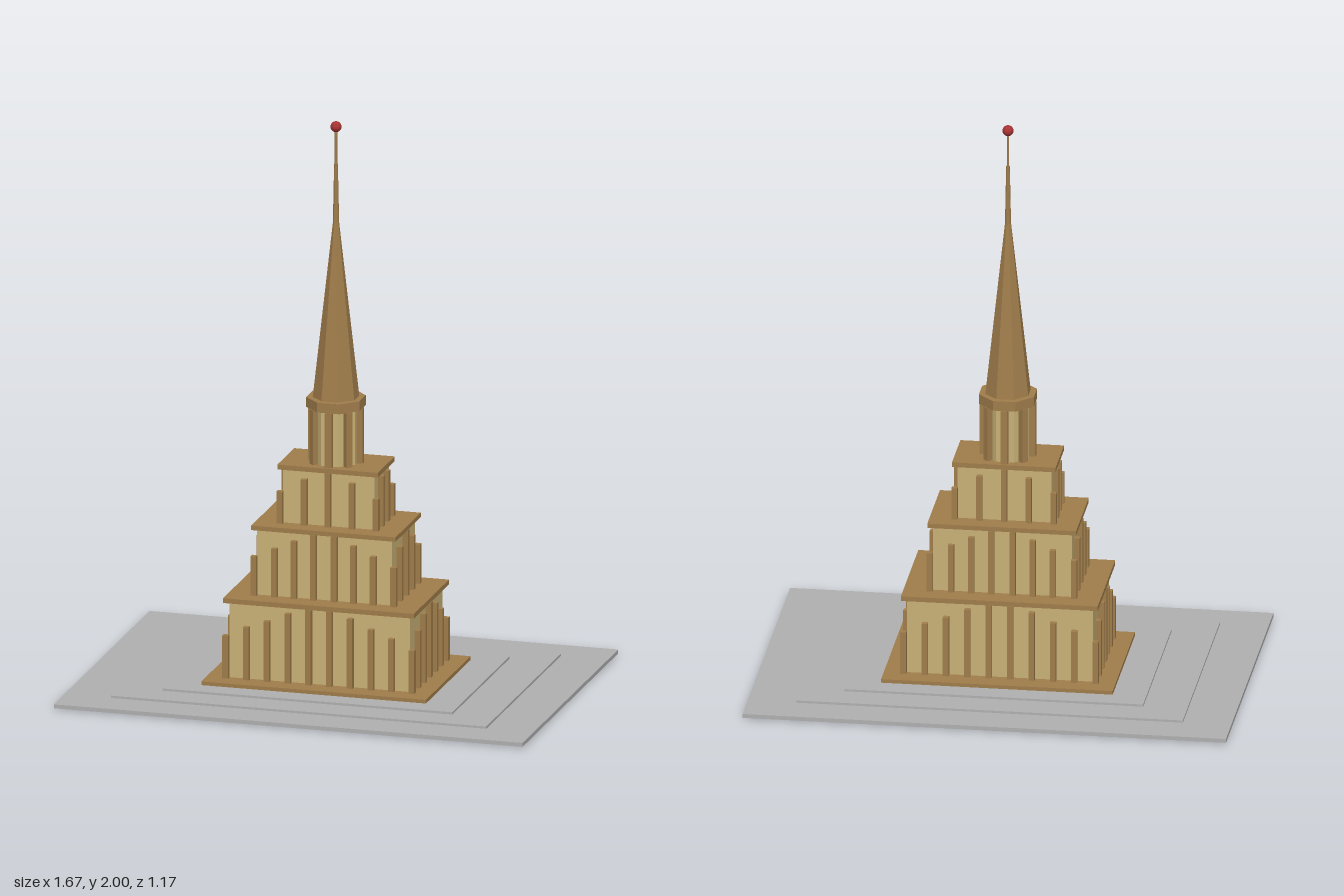
import * as THREE from 'three';

const material = (name, color) => {
  const m = new THREE.MeshStandardMaterial({ color, flatShading: name !== 'red' });
  m.name = name;
  return m;
};

export function createModel() {
  const model = new THREE.Group();
  model.name = 'steppedTower';
  const stone = material('greyStone', 0xb0b0b0);
  const cream = material('creamWall', 0xc9b277);
  const brown = material('brownTrim', 0xa07d4b);
  const red = material('red', 0xa83232);

  const add = (name, geometry, mat, parent = model) => {
    const mesh = new THREE.Mesh(geometry, mat);
    mesh.name = name;
    parent.add(mesh);
    return mesh;
  };
  // Box given by half width, half depth and its lower and upper level
  const slab = (name, hx, hz, y0, y1, mat, parent) => {
    const mesh = add(name, new THREE.BoxGeometry(hx * 2, y1 - y0, hz * 2), mat, parent);
    mesh.position.y = (y0 + y1) / 2;
    return mesh;
  };
  // Eight-sided frustum with flat faces towards the axes; radii measured to the faces
  const octagon = (name, rTop, rBottom, y0, y1, mat) => {
    const k = 1 / Math.cos(Math.PI / 8);
    const g = new THREE.CylinderGeometry(rTop * k, rBottom * k, y1 - y0, 8);
    g.rotateY(Math.PI / 8);
    add(name, g, mat).position.y = (y0 + y1) / 2;
  };

  // Stepped terrace and plinth
  slab('lowerTerrace', 0.835, 0.587, 0.004, 0.018, stone);
  slab('middleTerrace', 0.668, 0.458, 0.018, 0.026, stone);
  slab('upperTerrace', 0.516, 0.351, 0.026, 0.034, stone);
  slab('plinth', 0.4, 0.275, 0.034, 0.047, brown);

  // Thin footing frame under the terrace
  const rect = (s, hx, hz) =>
    s.moveTo(-hx, -hz).lineTo(hx, -hz).lineTo(hx, hz).lineTo(-hx, hz).closePath();
  const frame = rect(new THREE.Shape(), 0.4, 0.275);
  frame.holes.push(rect(new THREE.Path(), 0.385, 0.26));
  const frameGeo = new THREE.ExtrudeGeometry(frame, { depth: 0.004, bevelEnabled: false });
  frameGeo.rotateX(-Math.PI / 2);
  add('footingFrame', frameGeo, brown);

  // Tiers: pilasters are [offset, top], mirrored, lower towards the corners
  const tiers = [
    {
      y0: 0.047, y1: 0.315, top: 0.332, wall: [0.322, 0.198], cornice: [0.34, 0.216], corner: 0.2,
      front: [[0.037, 0.315], [0.111, 0.295], [0.185, 0.262], [0.258, 0.235]],
      side: [[0, 0.315], [0.069, 0.292], [0.138, 0.252]],
    },
    {
      y0: 0.332, y1: 0.565, top: 0.581, wall: [0.24, 0.14], cornice: [0.257, 0.156], corner: 0.472,
      front: [[0.037, 0.565], [0.106, 0.537], [0.176, 0.505]],
      side: [[0, 0.565], [0.072, 0.525]],
    },
    {
      y0: 0.581, y1: 0.773, top: 0.79, wall: [0.163, 0.088], cornice: [0.179, 0.104], corner: 0.695,
      front: [[0, 0.773], [0.085, 0.744]],
      side: [[0.033, 0.76]],
    },
  ];
  const P = 0.02; // pilaster thickness
  tiers.forEach((t, i) => {
    const tier = new THREE.Group();
    tier.name = 'tier' + (i + 1);
    model.add(tier);
    slab('wall', ...t.wall, t.y0, t.y1, cream, tier);
    slab('cornice', ...t.cornice, t.y1, t.top, brown, tier);
    const px = t.cornice[0] - 0.008, pz = t.cornice[1] - 0.008;
    const pilaster = (name, x, z, top) => {
      const m = slab(name, P / 2, P / 2, t.y0, top, brown, tier);
      m.position.x = x;
      m.position.z = z;
    };
    const signs = (v) => (v === 0 ? [0] : [-v, v]);
    for (const s of [-1, 1]) {
      for (const [o, top] of t.front) signs(o).forEach((x) => pilaster('pilaster', x, s * pz, top));
      for (const [o, top] of t.side) signs(o).forEach((z) => pilaster('pilaster', s * px, z, top));
      for (const c of [-1, 1]) pilaster('cornerPost', s * px, c * pz, t.corner);
    }
  });

  // Eight-sided drum with a pilaster on each face
  octagon('drum', 0.076, 0.076, 0.79, 0.985, cream);
  octagon('drumCornice', 0.095, 0.095, 0.985, 1.02, brown);
  for (let i = 0; i < 8; i++) {
    const a = (i * Math.PI) / 4;
    const m = slab('drumPilaster', 0.012, 0.011, 0.79, 0.985, brown);
    m.position.x = Math.sin(a) * 0.086;
    m.position.z = Math.cos(a) * 0.086;
    m.rotation.y = a;
  }

  // Spire, needle and ball
  octagon('spire', 0.01, 0.074, 1.02, 1.64, brown);
  octagon('lowerNeedle', 0.006, 0.01, 1.64, 1.85, brown);
  octagon('upperNeedle', 0.004, 0.004, 1.85, 1.97, brown);
  add('ball', new THREE.SphereGeometry(0.019, 20, 14), red).position.y = 1.981;

  return model;
}
